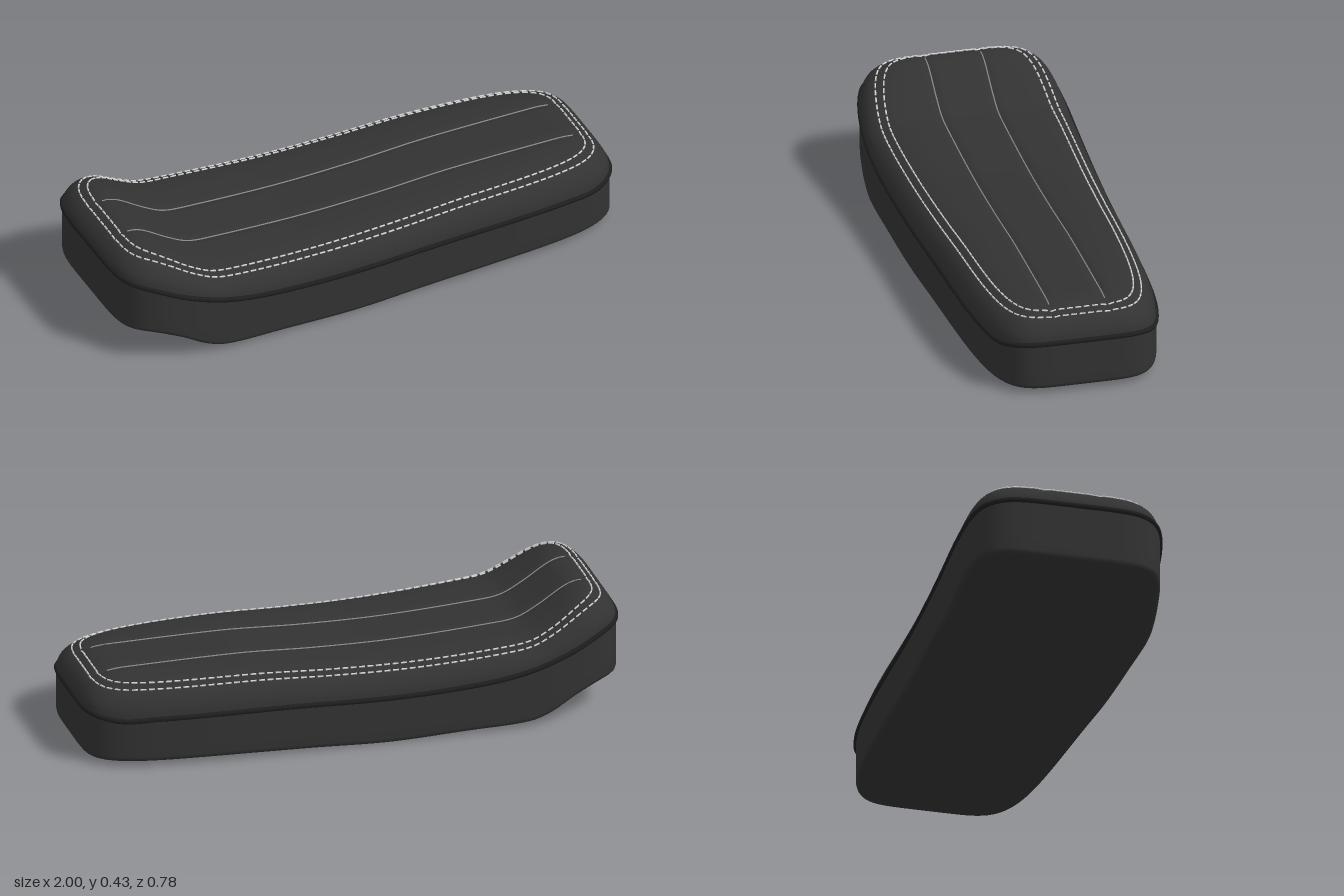
import * as THREE from 'three';
import { mergeGeometries } from 'three/addons/utils/BufferGeometryUtils.js';

// Smooth function of one variable through a few [x, y] points
function curve(pts) {
  const slope = i => {
    const a = pts[Math.max(i - 1, 0)], b = pts[Math.min(i + 1, pts.length - 1)];
    return (b[1] - a[1]) / (b[0] - a[0]);
  };
  return x => {
    if (x <= pts[0][0]) return pts[0][1];
    if (x >= pts[pts.length - 1][0]) return pts[pts.length - 1][1];
    let i = 0;
    while (x > pts[i + 1][0]) i++;
    const [x0, y0] = pts[i], [x1, y1] = pts[i + 1], h = x1 - x0, t = (x - x0) / h;
    const t2 = t * t, t3 = t2 * t;
    return y0 * (2 * t3 - 3 * t2 + 1) + y1 * (3 * t2 - 2 * t3)
      + h * (slope(i) * (t3 - 2 * t2 + t) + slope(i + 1) * (t3 - t2));
  };
}

// Side-view lines of the seat
const bottomY = curve([[-1, 0.13], [-0.9, 0.13], [-0.8, 0.098], [-0.7, 0.045], [-0.62, 0.021],
  [-0.4, 0.013], [-0.1, 0.002], [0.2, 0.012], [0.6, 0.02], [1, 0.02]]);
const seamY = curve([[-1, 0.345], [-0.9, 0.322], [-0.75, 0.262], [-0.6, 0.218], [-0.4, 0.192],
  [-0.1, 0.18], [0.3, 0.188], [0.75, 0.188], [0.88, 0.182], [1, 0.203]]);
const topY = curve([[-1, 0.43], [-0.94, 0.442], [-0.88, 0.44], [-0.82, 0.415], [-0.73, 0.358],
  [-0.65, 0.318], [-0.55, 0.306], [-0.2, 0.292], [0.1, 0.297], [0.4, 0.312], [1, 0.312]]);
// Height share of the cushion at a given inset from its edge
const shoulder = curve([[0, 0], [0.003, 0.2], [0.013, 0.42], [0.03, 0.62], [0.05, 0.75],
  [0.085, 0.89], [0.12, 0.965], [0.16, 1]]);

const HALF_LENGTH = 0.991, POWER = 5.5, EDGE = 0.16;

// Directions round a square, turned into a rounded tapering outline
const directions = [];
const LONG = 90, SHORT = 40;
for (let i = 0; i < SHORT; i++) directions.push([1, 1 - 2 * i / SHORT]);
for (let i = 0; i < LONG; i++) directions.push([1 - 2 * i / LONG, -1]);
for (let i = 0; i < SHORT; i++) directions.push([-1, -1 + 2 * i / SHORT]);
for (let i = 0; i < LONG; i++) directions.push([-1 + 2 * i / LONG, 1]);

function outline(inset, height, spread = 1) {
  return directions.map(([a, b]) => {
    const m = (Math.abs(a) ** POWER + Math.abs(b) ** POWER) ** (1 / POWER);
    const x = (HALF_LENGTH - inset) * a / m;
    const z = (0.363 - 0.035 * x - inset) * b / m * spread;
    return new THREE.Vector3(x, height(x, z), z);
  });
}

// Skin over a list of closed rings
function skin(rings) {
  const n = directions.length, index = [];
  for (let i = 0; i < rings.length - 1; i++) {
    for (let j = 0; j < n; j++) {
      const k = (j + 1) % n, a = i * n + j, b = i * n + k, c = b + n, d = a + n;
      index.push(a, b, c, a, c, d);
    }
  }
  const g = new THREE.BufferGeometry().setFromPoints(rings.flat());
  g.setIndex(index);
  g.computeVertexNormals();
  return g;
}

// Cushion surface, with two shallow channels along its length
const channel = z => 0.007 * Math.exp(-(((Math.abs(z) - 0.103) / 0.014) ** 2));
const cushionY = inset => (x, z) =>
  seamY(x) + (topY(x) - seamY(x)) * shoulder(inset) - channel(z) * shoulder(inset) ** 3;

// Dashes laid along a closed line
function dashes(points, length, gap, radius) {
  const path = new THREE.CatmullRomCurve3(points, true);
  path.arcLengthDivisions = 1200;
  const count = Math.round(path.getLength() / (length + gap)), parts = [];
  const up = new THREE.Vector3(0, 1, 0), q = new THREE.Quaternion();
  for (let i = 0; i < count; i++) {
    const u = i / count, p = path.getPointAt(u), t = path.getTangentAt(u);
    const g = new THREE.CylinderGeometry(radius, radius, length, 6);
    g.applyQuaternion(q.setFromUnitVectors(up, t));
    g.translate(p.x, p.y, p.z);
    parts.push(g);
  }
  return mergeGeometries(parts);
}

export function createModel() {
  const leather = new THREE.MeshStandardMaterial({ color: 0x323232 });
  leather.name = 'dark leather';
  const trim = new THREE.MeshStandardMaterial({ color: 0x1e1e1e });
  trim.name = 'black piping';
  const thread = new THREE.MeshStandardMaterial({ color: 0xd2d2d2 });
  thread.name = 'pale thread';
  const seamThread = new THREE.MeshStandardMaterial({ color: 0x8c8c8c });
  seamThread.name = 'grey seam thread';

  const seat = new THREE.Group();
  seat.name = 'seat';
  const add = (name, geometry, material) => {
    const mesh = new THREE.Mesh(geometry, material);
    mesh.name = name;
    seat.add(mesh);
  };

  // Base: underside, rounded lower edge, then side wall up to the seam
  const base = [];
  for (let i = 0; i <= 6; i++) base.push(outline(0.016, bottomY, i / 6));
  for (const [inset, rise] of [[0.014, 0.0005], [0.007, 0.004], [0.002, 0.011], [0, 0.02]]) {
    base.push(outline(inset, x => bottomY(x) + rise));
  }
  for (let i = 1; i <= 4; i++) {
    base.push(outline(0, x => THREE.MathUtils.lerp(bottomY(x) + 0.02, seamY(x), i / 4)));
  }
  add('base', skin(base), leather);

  // Cushion: rounded shoulder, then the channelled top
  const cushion = [0, 0.003, 0.007, 0.013, 0.021, 0.03, 0.04, 0.05, 0.066, 0.085, 0.102, 0.12, 0.14, EDGE]
    .map(d => outline(d, cushionY(d)));
  for (let i = 27; i >= 0; i--) cushion.push(outline(EDGE, cushionY(EDGE), i / 28));
  add('cushion', skin(cushion), leather);

  // Piping round the seam
  const pipePath = new THREE.CatmullRomCurve3(outline(0.001, seamY), true);
  add('piping', new THREE.TubeGeometry(pipePath, 300, 0.01, 8, true), trim);

  // Double row of edge stitching
  for (const [name, inset] of [['outerStitching', 0.05], ['innerStitching', 0.077]]) {
    const surface = cushionY(inset);
    add(name, dashes(outline(inset, (x, z) => surface(x, z) + 0.002), 0.021, 0.01, 0.0032), thread);
  }

  // Seam lines lying in the two channels
  for (const [name, z] of [['leftSeam', 0.103], ['rightSeam', -0.103]]) {
    const points = [];
    for (let i = 0; i <= 60; i++) {
      const x = -0.89 + 1.77 * i / 60;
      const inset = Math.min(EDGE, HALF_LENGTH - Math.abs(x));
      points.push(new THREE.Vector3(x, cushionY(inset)(x, z) + 0.0015, z));
    }
    add(name, new THREE.TubeGeometry(new THREE.CatmullRomCurve3(points), 120, 0.0025, 6), seamThread);
  }
  return seat;
}
